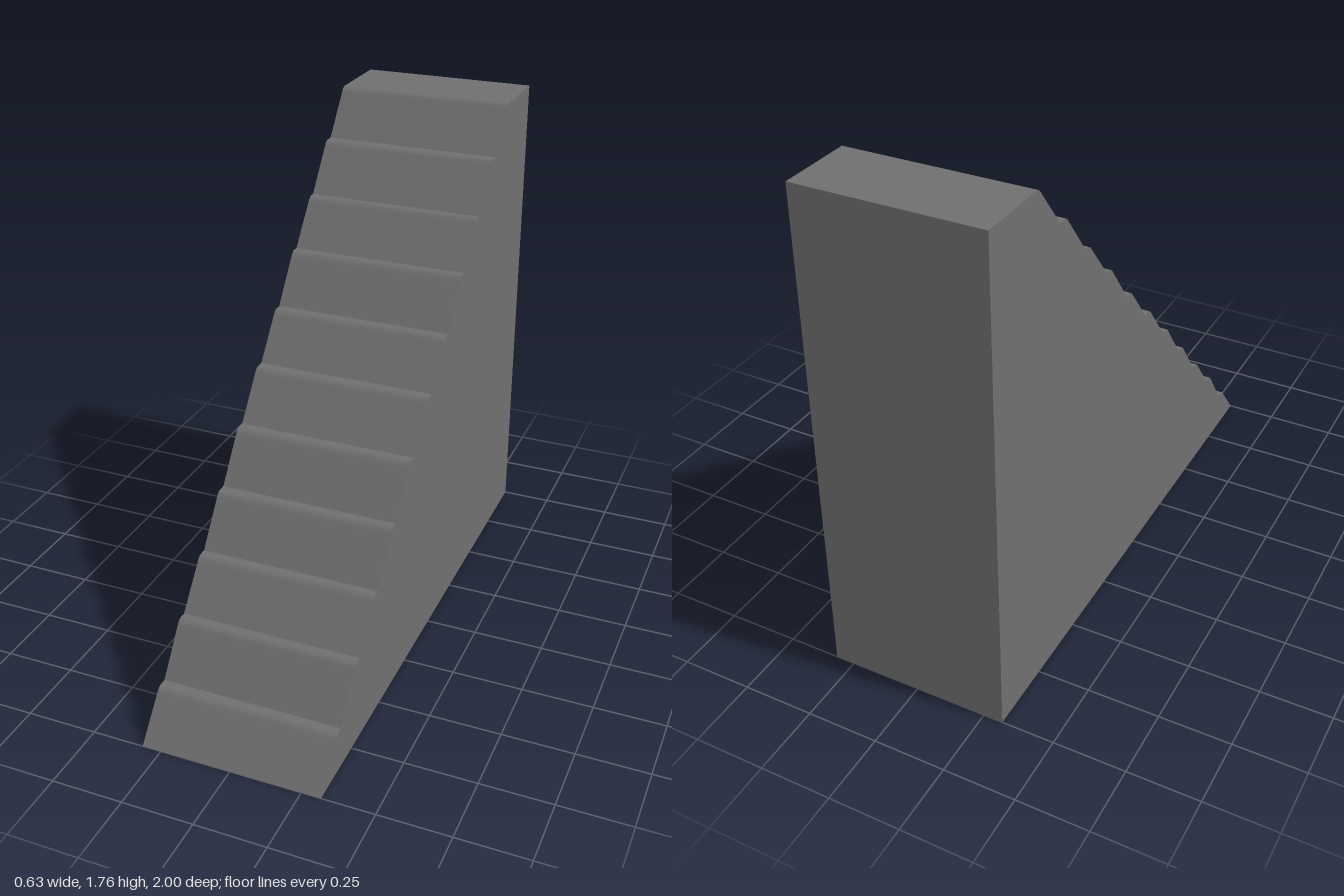
import * as THREE from 'three';
import { toCreasedNormals } from 'three/addons/utils/BufferGeometryUtils.js';

const WIDTH = 0.635;

// Each step: [height, front of nose z, back of tread z]
const STEPS = [
  [0.15, 0.878, 0.835], [0.315, 0.72, 0.68], [0.47, 0.56, 0.52], [0.635, 0.402, 0.36],
  [0.80, 0.242, 0.20], [0.96, 0.08, 0.035], [1.115, -0.083, -0.123], [1.28, -0.243, -0.28],
  [1.435, -0.4, -0.433], [1.60, -0.555, -0.60], [1.76, -0.72, -1],
];

export function createModel() {
  const group = new THREE.Group();
  group.name = 'staircase';

  // Side profile: flat sloped risers, softened noses, narrow treads, top landing
  const profile = new THREE.Shape();
  profile.moveTo(-1, 0);
  let foot = new THREE.Vector2(-1, 0);
  for (const [y, front, back] of STEPS) {
    const nose = new THREE.Vector2(-front, y - 0.008);
    const riserTop = foot.clone().lerp(nose, 0.93);
    profile.lineTo(riserTop.x, riserTop.y);
    profile.lineTo(nose.x, nose.y);
    profile.lineTo(-front + 0.012, y);
    profile.lineTo(-front + 0.024, y);
    profile.lineTo(-back, y);
    foot = new THREE.Vector2(-back, y);
  }
  profile.lineTo(1, 0);
  profile.closePath();

  // Extrude across the width, then turn the profile so the foot faces +z
  const solid = new THREE.ExtrudeGeometry(profile, { depth: WIDTH, bevelEnabled: false });
  solid.translate(0, 0, -WIDTH / 2);
  solid.rotateY(Math.PI / 2);

  const stairs = new THREE.Mesh(
    toCreasedNormals(solid, 0.6),
    new THREE.MeshStandardMaterial({ color: 0x6f6f6f }),
  );
  stairs.name = 'stairs';
  group.add(stairs);
  return group;
}
